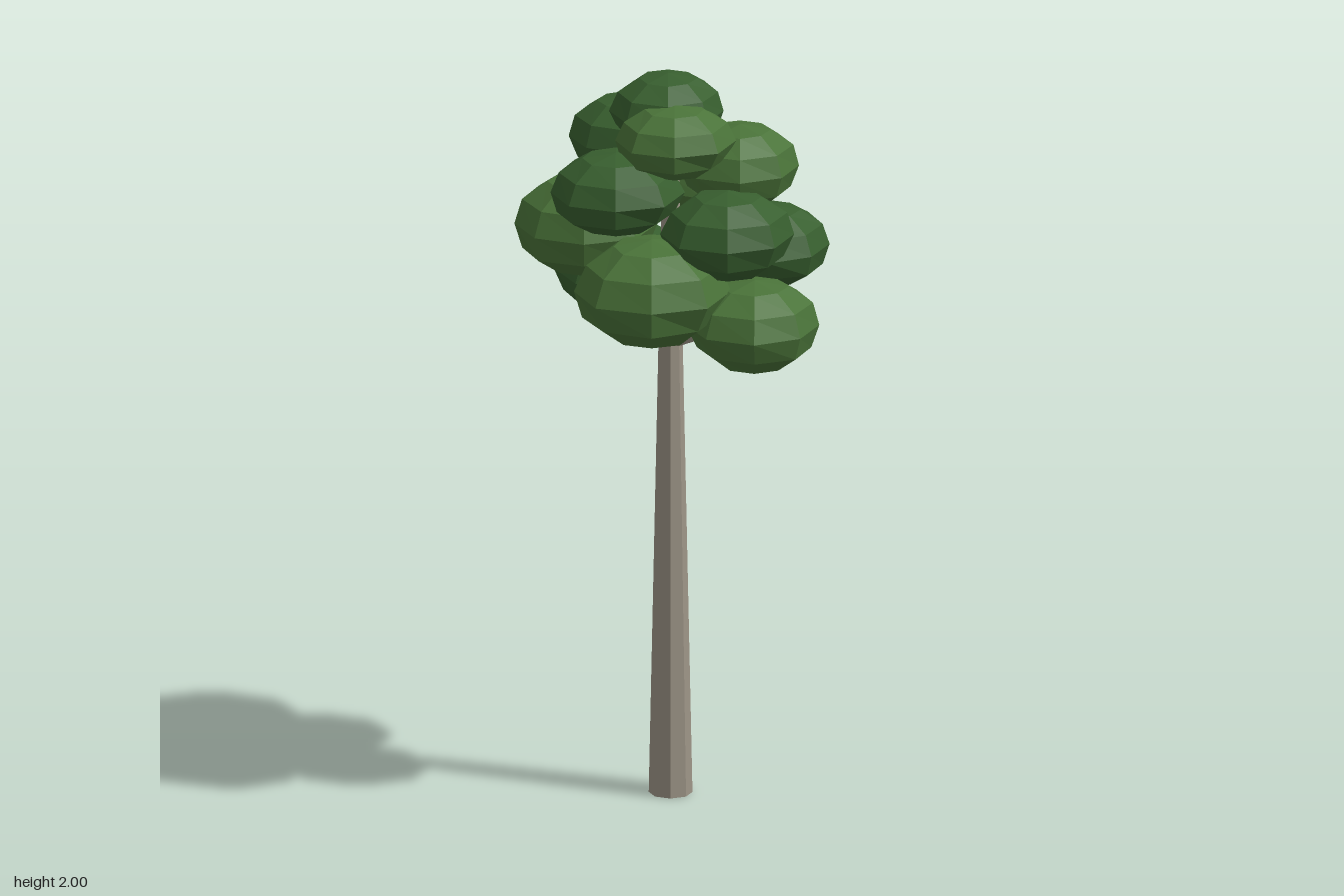
import * as THREE from 'three';

const bark = new THREE.MeshStandardMaterial({ color: 0x9c9486, flatShading: true });
const lightLeaf = new THREE.MeshStandardMaterial({ color: 0x4a7339, flatShading: true });
const darkLeaf = new THREE.MeshStandardMaterial({ color: 0x385f2f, flatShading: true });

// Faceted sphere with slightly uneven corners; seam corners share one offset
function clumpGeometry(seed) {
  const geo = new THREE.SphereGeometry(1, 8, 6);
  const p = geo.attributes.position;
  const v = new THREE.Vector3();
  for (let i = 0; i < p.count; i++) {
    v.fromBufferAttribute(p, i);
    const k = 1 + 0.03 * Math.sin(v.x * 5 + v.z * 7 + v.y * 3 + seed * 2.3);
    p.setXYZ(i, v.x * k, v.y, v.z * k);
  }
  geo.computeVertexNormals();
  return geo;
}

// Tapered limb between two points
function limb(name, from, to, r0, r1, sides) {
  const a = new THREE.Vector3(...from);
  const dir = new THREE.Vector3(...to).sub(a);
  const mesh = new THREE.Mesh(new THREE.CylinderGeometry(r1, r0, dir.length(), sides), bark);
  mesh.position.copy(a).addScaledVector(dir, 0.5);
  mesh.quaternion.setFromUnitVectors(new THREE.Vector3(0, 1, 0), dir.normalize());
  mesh.name = name;
  return mesh;
}

export function createModel() {
  const tree = new THREE.Group();
  tree.name = 'tree';

  // Trunk, running up into the crown
  tree.add(limb('trunk', [0, 0, 0], [0, 1.75, 0], 0.058, 0.022, 8));

  // Branches reaching into the lower clumps
  const branches = new THREE.Group();
  branches.name = 'branches';
  [
    [1.25, [0.25, 1.36, -0.03]],
    [1.3, [-0.22, 1.4, -0.08]],
    [1.36, [0.09, 1.46, 0.15]],
    [1.42, [-0.18, 1.55, 0.08]],
    [1.4, [0.12, 1.5, -0.18]],
  ].forEach(([y, to]) => branches.add(limb('branch', [0, y, 0], to, 0.016, 0.011, 6)));
  tree.add(branches);

  // Leaf clumps: x, y, z, horizontal radius, vertical radius, material
  const crown = new THREE.Group();
  crown.name = 'crown';
  [
    [-0.01, 1.895, 0, 0.152, 0.105, darkLeaf],
    [0.085, 1.85, 0.07, 0.16, 0.1, lightLeaf],
    [-0.165, 1.79, 0, 0.155, 0.115, darkLeaf],
    [0.14, 1.75, -0.12, 0.16, 0.115, lightLeaf],
    [-0.015, 1.71, 0.19, 0.178, 0.11, darkLeaf],
    [-0.06, 1.66, -0.18, 0.19, 0.125, lightLeaf],
    [0.23, 1.61, 0.015, 0.177, 0.12, darkLeaf],
    [-0.225, 1.555, 0.1, 0.19, 0.135, lightLeaf],
    [0.145, 1.51, -0.22, 0.168, 0.11, darkLeaf],
    [0.11, 1.46, 0.18, 0.207, 0.145, lightLeaf],
    [-0.255, 1.38, -0.09, 0.198, 0.12, darkLeaf],
    [0.28, 1.357, -0.035, 0.177, 0.124, lightLeaf],
  ].forEach(([x, y, z, r, h, mat], i) => {
    const clump = new THREE.Mesh(clumpGeometry(i), mat);
    clump.name = 'leafClump';
    clump.position.set(x, y, z);
    clump.scale.set(r, h, r);
    crown.add(clump);
  });
  tree.add(crown);
  return tree;
}
